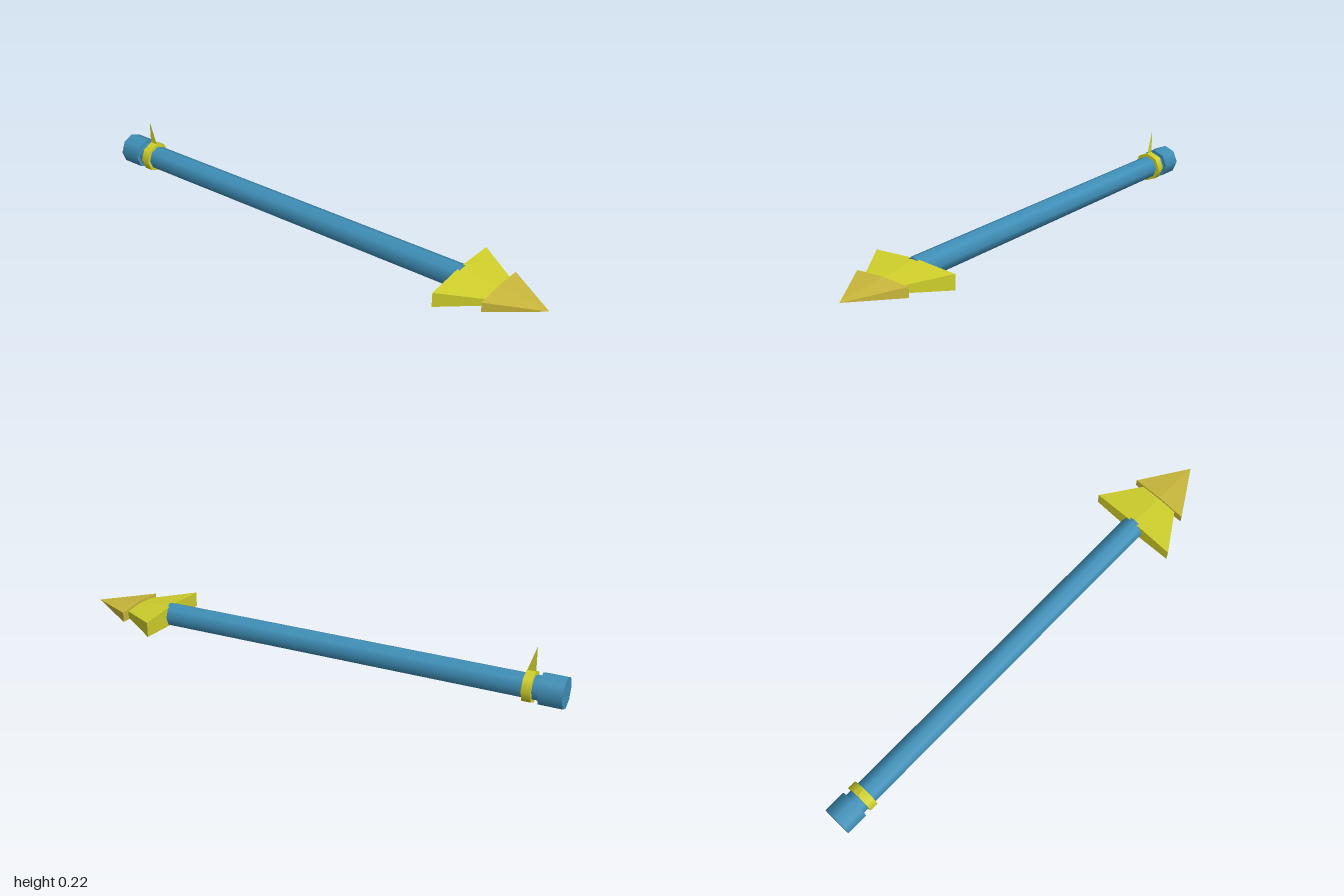
import * as THREE from 'three';

const AXIS_Y = 0.062; // height of the shaft's centre line

export function createModel() {
  const group = new THREE.Group();
  const blue = new THREE.MeshStandardMaterial({ color: 0x3f8fb8 });
  blue.name = 'blue';
  const yellow = new THREE.MeshStandardMaterial({ color: 0xd0d02c, side: THREE.DoubleSide });
  yellow.name = 'yellow';
  const gold = new THREE.MeshStandardMaterial({ color: 0xc9b73b });
  gold.name = 'gold';

  const add = (name, geometry, material) => {
    const mesh = new THREE.Mesh(geometry, material);
    mesh.name = name;
    mesh.position.y = AXIS_Y;
    group.add(mesh);
  };

  // Eight-sided rod along z
  const rod = (radius, z0, z1) =>
    new THREE.CylinderGeometry(radius, radius, z1 - z0, 8)
      .rotateX(Math.PI / 2)
      .translate(0, 0, (z0 + z1) / 2);

  // Pyramid with a flattened six-sided base, pointing along +z
  const spearhead = (halfWidth, edge, ridge, zBase, zTip) => {
    const base = [
      [halfWidth, -edge], [halfWidth, edge], [0, ridge],
      [-halfWidth, edge], [-halfWidth, -edge], [0, -ridge],
    ];
    const points = [];
    base.forEach(([x, y], i) => {
      const [nx, ny] = base[(i + 1) % base.length];
      points.push(x, y, zBase, nx, ny, zBase, 0, 0, zTip); // side
      points.push(nx, ny, zBase, x, y, zBase, 0, 0, zBase); // back
    });
    const geometry = new THREE.BufferGeometry();
    geometry.setAttribute('position', new THREE.Float32BufferAttribute(points, 3));
    geometry.computeVertexNormals();
    return geometry;
  };

  // Shaft and its end
  add('shaft', rod(0.048, -0.93, 0.65), blue);
  add('endCap', rod(0.062, -1, -0.91), blue);
  add('ring', rod(0.061, -0.885, -0.85), yellow);

  // Upright sight fin: a flat triangle on the ring
  const fin = new THREE.BufferGeometry().setFromPoints([
    new THREE.Vector3(0, 0.055, -0.85),
    new THREE.Vector3(0, 0.055, -0.885),
    new THREE.Vector3(0, 0.157, -0.883),
  ]);
  fin.computeVertexNormals();
  add('fin', fin, yellow);

  // Two-stage arrowhead
  add('headBase', spearhead(0.185, 0.03, 0.042, 0.64, 0.93), yellow);
  add('headTip', spearhead(0.12, 0.02, 0.027, 0.8, 1), gold);

  return group;
}
